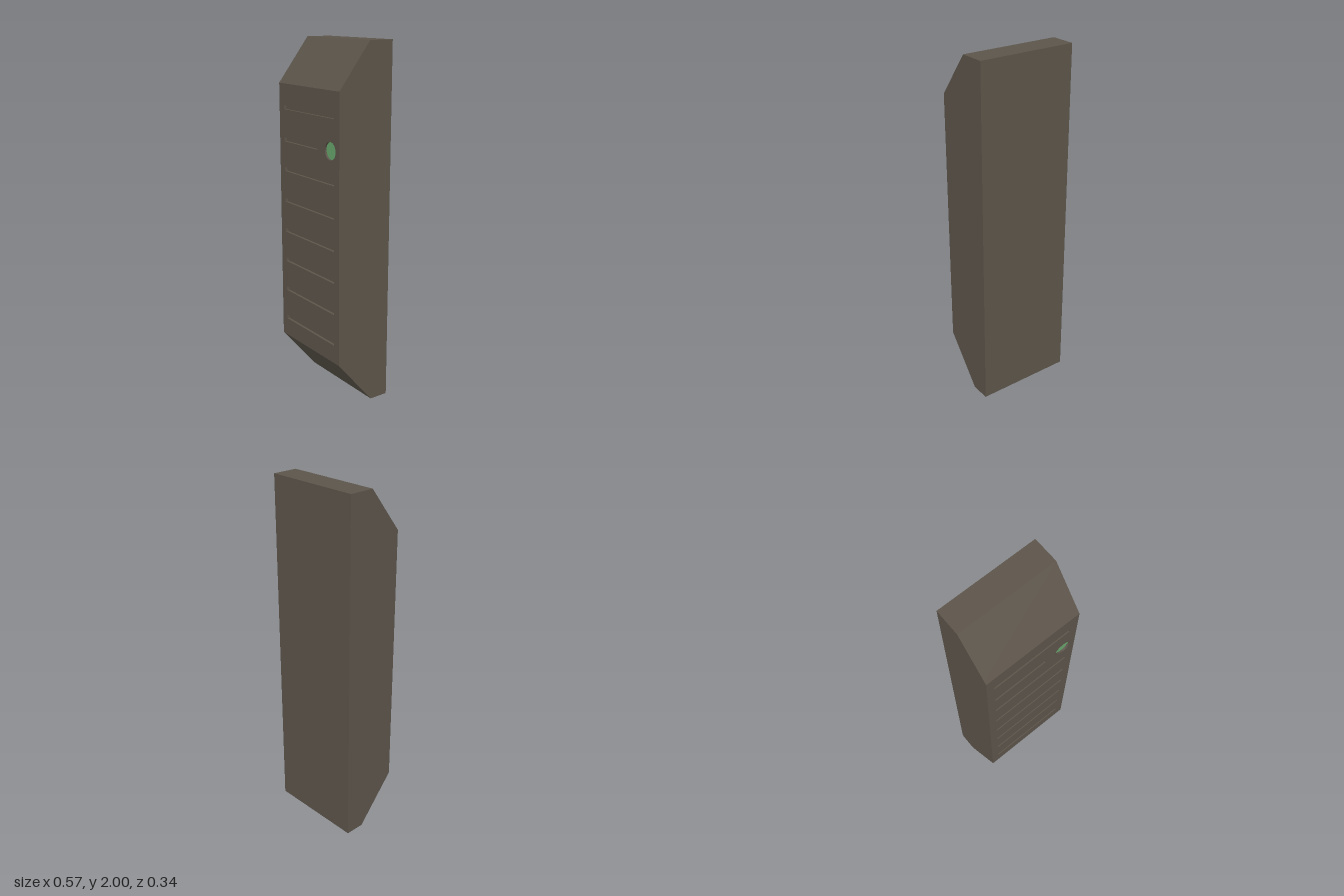
import * as THREE from 'three';

const HALF_W = 0.283, BACK = -0.168, FRONT = 0.168, DEPTH = 0.015;
const HEIGHT = 2, FACE_TOP = 1.755, FACE_BOTTOM = 0.267;
const TOP_EDGE_Z = -0.022, BOTTOM_EDGE_Z = -0.057;

// Outline of a rectangle, used for the faceplate and its slots
function rectangle(PathType, x0, y0, x1, y1) {
  return new PathType([[x0, y0], [x1, y0], [x1, y1], [x0, y1]].map(([x, y]) => new THREE.Vector2(x, y)));
}

export function createModel() {
  const group = new THREE.Group();
  const bodyMaterial = new THREE.MeshStandardMaterial({ color: 0x5c544a });
  const lampMaterial = new THREE.MeshStandardMaterial({ color: 0x66a56c });
  const add = (name, geometry, material) => {
    const mesh = new THREE.Mesh(geometry, material);
    mesh.name = name;
    group.add(mesh);
    return mesh;
  };

  // How far the sloped ends widen across the faceplate thickness
  const topGrow = DEPTH * (HEIGHT - FACE_TOP) / (FRONT - TOP_EDGE_Z);
  const bottomGrow = DEPTH * FACE_BOTTOM / (FRONT - BOTTOM_EDGE_Z);
  const floorZ = FRONT - DEPTH;

  // Housing: side profile with sloped top and bottom, extruded across the width
  const profile = new THREE.Shape([
    [BACK, 0], [BOTTOM_EDGE_Z, 0], [floorZ, FACE_BOTTOM - bottomGrow],
    [floorZ, FACE_TOP + topGrow], [TOP_EDGE_Z, HEIGHT], [BACK, HEIGHT],
  ].map(([z, y]) => new THREE.Vector2(z, y)));
  const housing = new THREE.ExtrudeGeometry(profile, { depth: HALF_W * 2, bevelEnabled: false });
  housing.rotateY(-Math.PI / 2).translate(HALF_W, 0, 0);
  add('housing', housing, bodyMaterial);

  // Faceplate: slots and lamp recess cut through to the housing behind
  const face = rectangle(THREE.Shape, -HALF_W, FACE_BOTTOM, HALF_W, FACE_TOP);
  [1.625, 1.446, 1.277, 1.098, 0.92, 0.742, 0.562, 0.382].forEach((y, i) => {
    face.holes.push(rectangle(THREE.Path, -0.237, y - 0.011, i === 1 ? 0.09 : 0.235, y + 0.011));
  });
  const lampX = 0.203, lampY = 1.445, lampR = 0.048;
  face.holes.push(new THREE.Path().absarc(lampX, lampY, lampR, 0, Math.PI * 2));
  const plate = new THREE.ExtrudeGeometry(face, { depth: DEPTH, bevelEnabled: false, curveSegments: 32 });

  // Slope the plate's end edges to continue the housing's sloped ends
  const pos = plate.attributes.position;
  for (let i = 0; i < pos.count; i++) {
    if (pos.getZ(i) > DEPTH / 2) continue;
    const y = pos.getY(i);
    if (y > FACE_TOP - 0.001) pos.setY(i, y + topGrow);
    if (y < FACE_BOTTOM + 0.001) pos.setY(i, y - bottomGrow);
  }
  plate.computeVertexNormals();
  plate.translate(0, 0, floorZ);
  add('faceplate', plate, bodyMaterial);

  // Round green lamp set into its recess
  const lamp = new THREE.CylinderGeometry(lampR, lampR, 0.004, 32);
  lamp.rotateX(Math.PI / 2);
  add('lamp', lamp, lampMaterial).position.set(lampX, lampY, floorZ + 0.002);

  return group;
}
